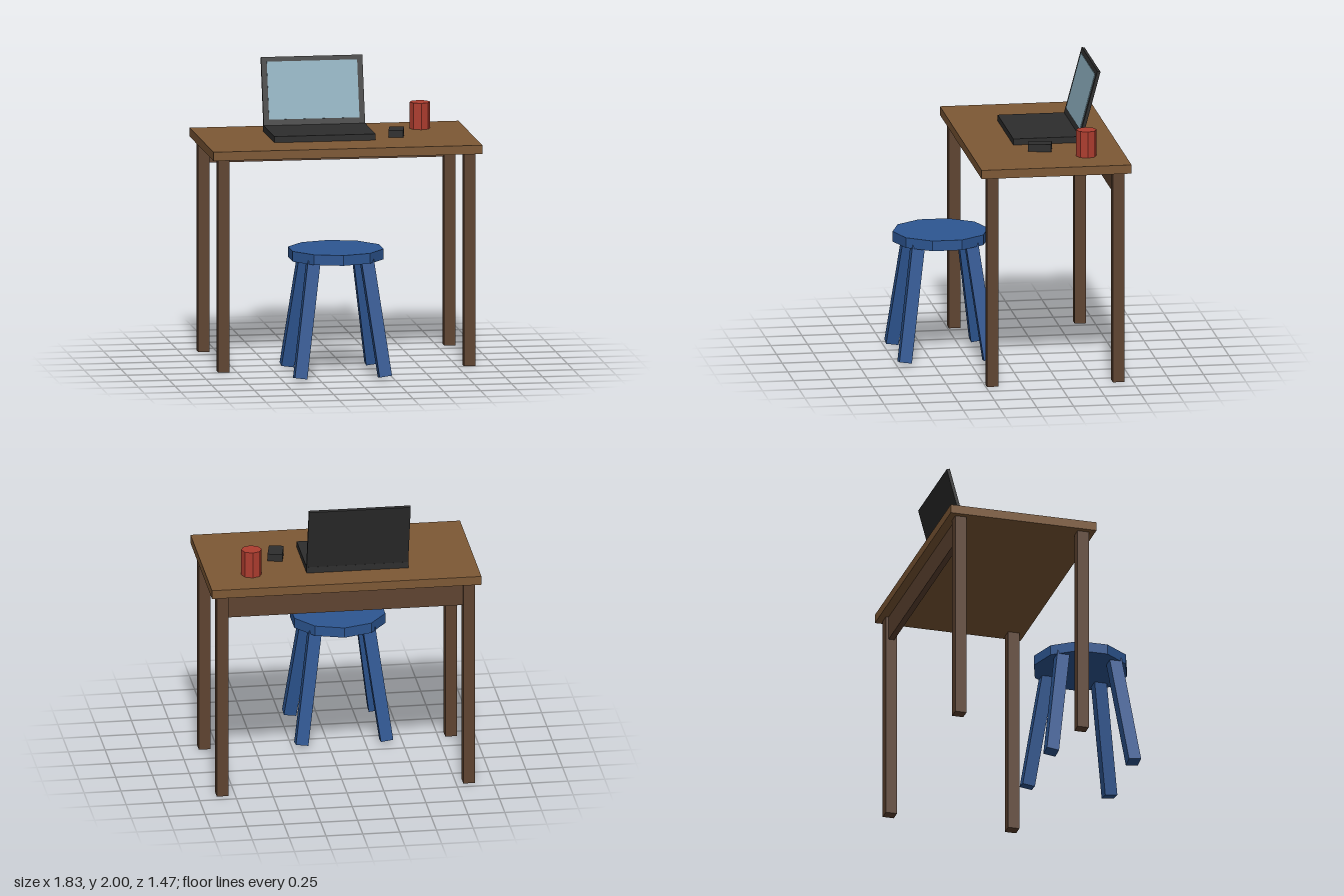
import * as THREE from 'three';

const material = (name, color) => {
  const m = new THREE.MeshStandardMaterial({ color });
  m.name = name;
  return m;
};

export function createModel() {
  const wood = material('table wood', 0x7d5835);
  const darkWood = material('leg wood', 0x5e4330);
  const blue = material('stool blue', 0x2d5692);
  const charcoal = material('charcoal', 0x2d2d2d);
  const glass = material('screen glass', 0x87a8b7);
  const red = material('cup red', 0xae3d2f);

  const model = new THREE.Group();
  model.name = 'deskWithStool';

  const group = (name, parent = model) => {
    const g = new THREE.Group();
    g.name = name;
    parent.add(g);
    return g;
  };
  const add = (parent, name, geometry, mat, x, y, z) => {
    const mesh = new THREE.Mesh(geometry, mat);
    mesh.name = name;
    mesh.position.set(x, y, z);
    parent.add(mesh);
    return mesh;
  };
  const box = (w, h, d) => new THREE.BoxGeometry(w, h, d);
  // Low-poly prism with flat faces
  const prism = (r, h, sides) => {
    const g = new THREE.CylinderGeometry(r, r, h, sides).toNonIndexed();
    g.computeVertexNormals();
    return g;
  };

  // Table: top, four straight legs, one apron at the back
  const table = group('table');
  add(table, 'tableTop', box(1.83, 0.06, 1.02), wood, 0, 1.48, -0.225);
  for (const x of [-0.837, 0.837]) {
    for (const z of [-0.653, 0.203]) {
      add(table, 'tableLeg', box(0.078, 1.45, 0.078), darkWood, x, 0.725, z);
    }
  }
  add(table, 'backApron', box(1.6, 0.165, 0.04), darkWood, 0, 1.368, -0.653);

  // Stool: ten-sided seat on four splayed legs
  const stool = group('stool');
  stool.position.set(-0.102, 0, 0.408);
  add(stool, 'stoolSeat', prism(0.325, 0.07, 10), blue, 0, 0.823, 0);
  for (const sx of [-1, 1]) {
    for (const sz of [-1, 1]) {
      const leg = add(stool, 'stoolLeg', box(0.085, 0.795, 0.085), blue, sx * 0.235, 0.411, sz * 0.235);
      leg.rotation.set(-sz * 0.135, 0, sx * 0.135);
    }
  }

  // Laptop: flat base and a lid leaning back, hinged at its lower front edge
  const laptop = group('laptop');
  laptop.position.set(-0.105, 1.51, 0);
  add(laptop, 'laptopBase', box(0.69, 0.042, 0.475), charcoal, 0, 0.021, -0.273);
  const lid = group('laptopLid', laptop);
  lid.position.set(0, 0.035, -0.485);
  lid.rotation.x = -0.262;
  add(lid, 'lidFrame', box(0.69, 0.471, 0.022), charcoal, 0, 0.2355, -0.011);
  add(lid, 'screen', box(0.615, 0.392, 0.006), glass, 0, 0.243, 0.001);

  // Mouse, turned slightly
  const mouse = add(model, 'mouse', box(0.1, 0.05, 0.158), charcoal, 0.405, 1.535, -0.19);
  mouse.rotation.y = -0.2;

  // Eight-sided cup
  add(model, 'cup', prism(0.07, 0.18, 8), red, 0.61, 1.6, -0.475);

  return model;
}
